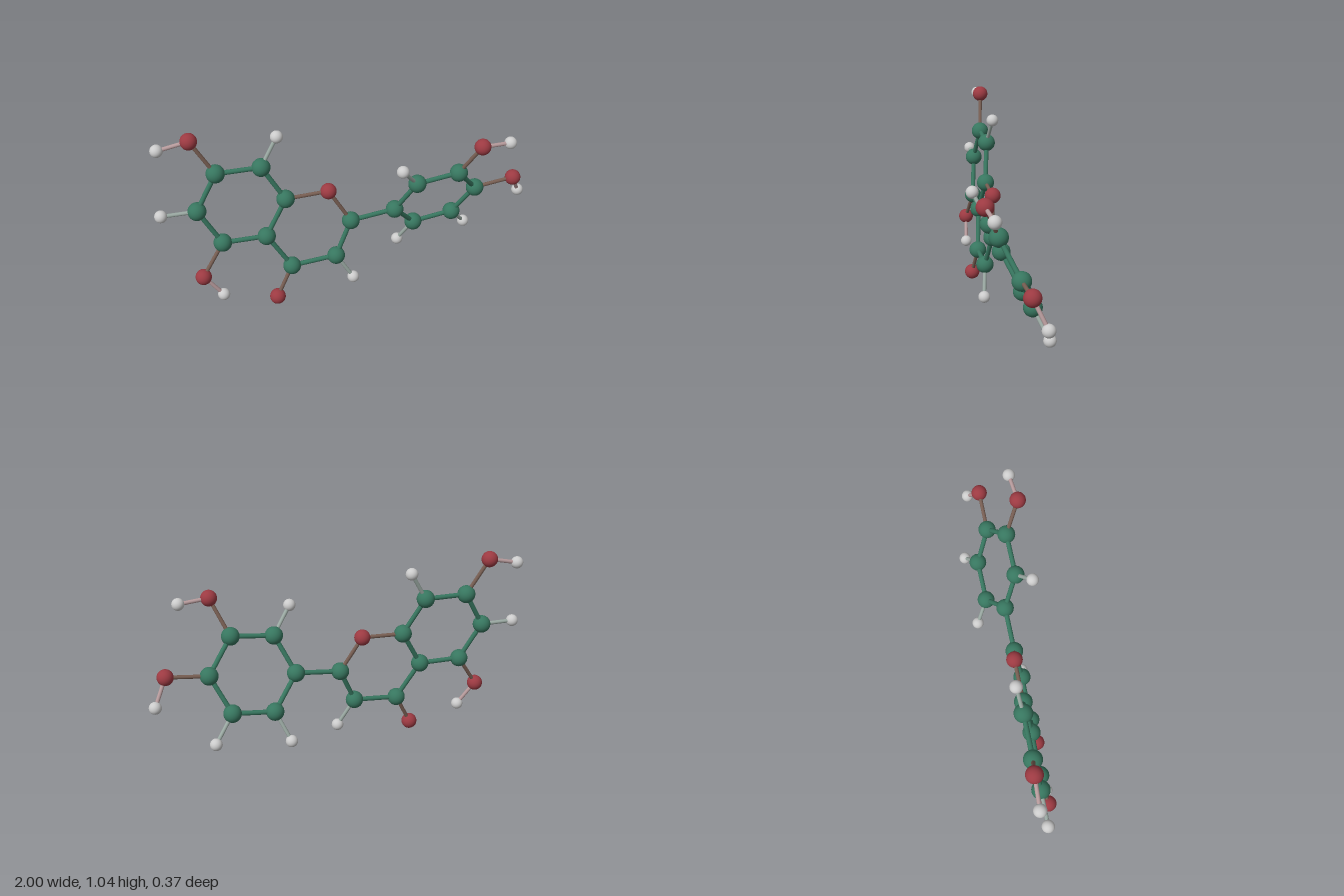
import * as THREE from 'three';

// Element: name, radius, colour
const ELEMENTS = {
  C: { name: 'carbon', radius: 0.047, color: 0x37765f },
  O: { name: 'oxygen', radius: 0.042, color: 0x9c3a42 },
  H: { name: 'hydrogen', radius: 0.032, color: 0xcccccc },
};

// Atom: element and centre
const ATOMS = {
  // fused outer ring
  c5: ['C', -0.68, 0.42, 0.027],
  c6: ['C', -0.79, 0.618, 0.005],
  c7: ['C', -0.68, 0.811, -0.018],
  c8: ['C', -0.453, 0.811, -0.022],
  c8a: ['C', -0.342, 0.618, 0],
  c4a: ['C', -0.453, 0.42, 0.025],
  // ring with oxygen
  o1: ['O', -0.118, 0.626, -0.005],
  c2: ['C', -0.005, 0.436, 0.015],
  c3: ['C', -0.092, 0.24, 0.042],
  c4: ['C', -0.332, 0.22, 0.047],
  // tilted ring
  b1: ['C', 0.235, 0.463, 0.007],
  b2: ['C', 0.33, 0.656, 0.08],
  b3: ['C', 0.555, 0.683, 0.071],
  b4: ['C', 0.685, 0.517, -0.014],
  b5: ['C', 0.589, 0.327, -0.087],
  b6: ['C', 0.368, 0.3, -0.078],
  // side groups
  o4: ['O', -0.42, 0.043, 0.069],
  o5: ['O', -0.797, 0.238, 0.055],
  ho5: ['H', -0.703, 0.113, 0.067],
  h6: ['H', -0.968, 0.618, 0.007],
  o7: ['O', -0.79, 1.0, -0.036],
  ho7: ['H', -0.945, 0.968, -0.038],
  h8: ['H', -0.365, 0.963, -0.042],
  h3: ['H', -0.002, 0.09, 0.059],
  h2: ['H', 0.23, 0.786, 0.149],
  ob3: ['O', 0.642, 0.871, 0.146],
  hob3: ['H', 0.798, 0.862, 0.127],
  ob4: ['O', 0.902, 0.543, -0.021],
  hob4: ['H', 0.967, 0.413, -0.082],
  hb5: ['H', 0.689, 0.198, -0.151],
  hb6: ['H', 0.298, 0.149, -0.14],
};

// Each chain bonds its neighbouring atoms in order
const CHAINS = [
  'c5 c6 c7 c8 c8a c4a c5', 'c8a o1 c2 c3 c4 c4a', 'c2 b1',
  'b1 b2 b3 b4 b5 b6 b1', 'c4 o4', 'c5 o5 ho5', 'c6 h6', 'c7 o7 ho7',
  'c8 h8', 'c3 h3', 'b2 h2', 'b3 ob3 hob3', 'b4 ob4 hob4', 'b5 hb5', 'b6 hb6',
];

export function createModel() {
  const model = new THREE.Group();
  model.name = 'molecule';
  const atoms = new THREE.Group();
  atoms.name = 'atoms';
  const bonds = new THREE.Group();
  bonds.name = 'bonds';
  model.add(atoms, bonds);

  const position = (id) => new THREE.Vector3(...ATOMS[id].slice(1));
  const color = (id) => new THREE.Color(ELEMENTS[ATOMS[id][0]].color);

  // Atoms
  const ball = new THREE.SphereGeometry(1, 32, 20);
  const ballMaterials = {};
  for (const [key, e] of Object.entries(ELEMENTS)) {
    ballMaterials[key] = new THREE.MeshStandardMaterial({ color: e.color });
  }
  for (const id of Object.keys(ATOMS)) {
    const key = ATOMS[id][0];
    const mesh = new THREE.Mesh(ball, ballMaterials[key]);
    mesh.name = ELEMENTS[key].name + 'Atom';
    mesh.scale.setScalar(ELEMENTS[key].radius);
    mesh.position.copy(position(id));
    atoms.add(mesh);
  }

  // Bonds: rods from centre to centre, tinted between their two atoms
  const rod = new THREE.CylinderGeometry(1, 1, 1, 16, 1, true);
  const up = new THREE.Vector3(0, 1, 0);
  for (const chain of CHAINS) {
    const ids = chain.split(' ');
    for (let i = 0; i + 1 < ids.length; i++) {
      const a = position(ids[i]);
      const b = position(ids[i + 1]);
      const carbonPair = ATOMS[ids[i]][0] === 'C' && ATOMS[ids[i + 1]][0] === 'C';
      const radius = carbonPair ? 0.0125 : 0.01;
      const tint = color(ids[i]).lerp(color(ids[i + 1]), 0.5);
      const mesh = new THREE.Mesh(rod, new THREE.MeshStandardMaterial({ color: tint }));
      mesh.name = 'bond';
      mesh.scale.set(radius, a.distanceTo(b), radius);
      mesh.position.copy(a).lerp(b, 0.5);
      mesh.quaternion.setFromUnitVectors(up, b.clone().sub(a).normalize());
      bonds.add(mesh);
    }
  }
  return model;
}
